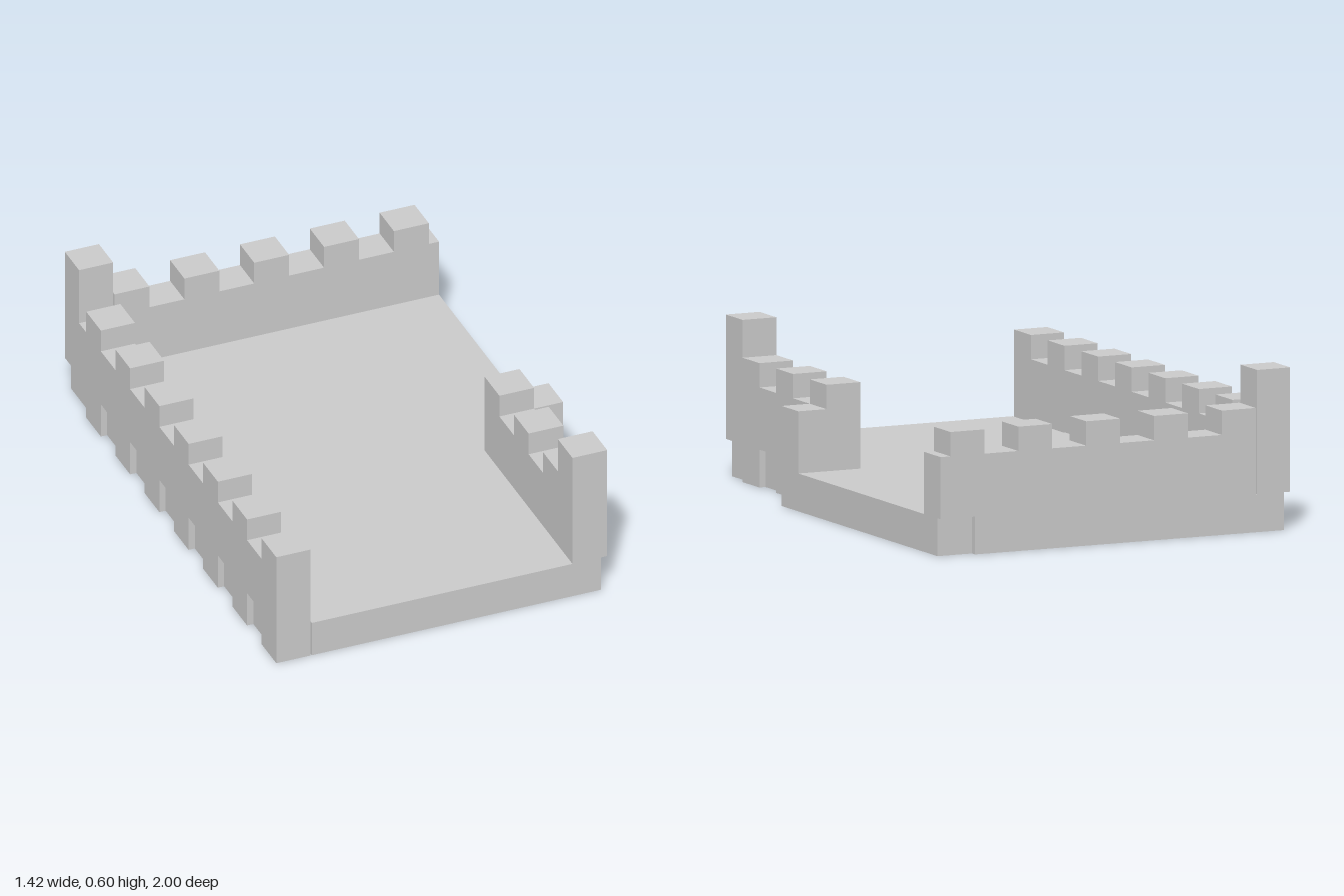
import * as THREE from 'three';

const HALF_X = 0.7125;   // outer half width
const FLOOR = 0.14;      // slab height
const LOW = 0.37;        // parapet height
const HIGH = 0.46;       // battlement height
const TOWER = 0.6;       // corner tower height
const THICK = 0.135;     // wall thickness
const STEP = 0.13825;    // width of one battlement or gap
const RECESS = 0.025;    // depth of the notches under the walls
const LEFT_IN = -0.572;  // slab and back wall edge beside the side wall
const RIGHT_OUT = 0.5975;
const edge = (i) => 1 - STEP * i; // z of the i-th battlement edge from the front

const material = new THREE.MeshStandardMaterial({ color: 0xcccccc, flatShading: true });

function extrude(points, depth) {
  const shape = new THREE.Shape(points.map(([x, y]) => new THREE.Vector2(x, y)));
  return new THREE.ExtrudeGeometry(shape, { depth, bevelEnabled: false });
}

function addMesh(group, name, geometry) {
  const mesh = new THREE.Mesh(geometry, material);
  mesh.name = name;
  group.add(mesh);
}

// Wall running along z: profile is (z, y), outer limits in x
function sideWall(points, xMin, xMax) {
  return extrude(points, xMax - xMin).rotateY(-Math.PI / 2).translate(xMax, 0, 0);
}

export function createModel() {
  const group = new THREE.Group();
  group.name = 'battlementedCourtyard';

  // Floor slab: plan outline (x, z) with tabs along both sides
  const plan = [[LEFT_IN, 1]];
  for (let i = 1; i <= 13; i++) {
    const tab = -HALF_X + RECESS;
    const [a, b] = i % 2 ? [LEFT_IN, tab] : [tab, LEFT_IN];
    plan.push([a, edge(i)], [b, edge(i)]);
  }
  plan.push([-HALF_X + RECESS, -1], [RIGHT_OUT - RECESS, -1]);
  plan.push([RIGHT_OUT - RECESS, -1 + RECESS], [HALF_X, -1 + RECESS]);
  plan.push([HALF_X, edge(5)], [RIGHT_OUT - RECESS, edge(5)]);
  for (let i = 4; i >= 1; i--) {
    const [a, b] = [RIGHT_OUT - RECESS, RIGHT_OUT];
    plan.push(i % 2 ? [b, edge(i)] : [a, edge(i)], i % 2 ? [a, edge(i)] : [b, edge(i)]);
  }
  plan.push([RIGHT_OUT - RECESS, 1]);
  addMesh(group, 'floor',
    extrude(plan.map(([x, z]) => [x, -z]), FLOOR).rotateX(-Math.PI / 2));

  // Long side wall: teeth reach the ground below each battlement
  const top = [[1, HIGH]];
  const bottom = [[1, 0]];
  for (let i = 1; i <= 13; i++) {
    const odd = i % 2 === 1;
    top.push([edge(i), odd ? HIGH : LOW], [edge(i), odd ? LOW : HIGH]);
    bottom.push([edge(i), odd ? 0 : FLOOR], [edge(i), odd ? FLOOR : 0]);
  }
  // the last edge leaves a raised underside and a low parapet up to the tower
  top.push([-1 + THICK, LOW], [-1 + THICK, TOWER], [-1, TOWER]);
  bottom.push([-1, FLOOR]);
  addMesh(group, 'longWall',
    sideWall([...top, ...bottom.reverse()], -HALF_X, -HALF_X + THICK));

  // Back wall with five battlements
  const back = [[LEFT_IN, FLOOR]];
  for (let k = 0; k < 5; k++) {
    const x = LEFT_IN + 2 * STEP * k;
    if (k) back.push([x, LOW]);
    back.push([x, HIGH], [x + STEP, HIGH], [x + STEP, LOW]);
  }
  back.push([HALF_X, LOW], [HALF_X, FLOOR]);
  addMesh(group, 'backWall', extrude(back, THICK).translate(0, 0, -1));

  // Short side wall with front tower
  const short = [[1, FLOOR], [1, TOWER], [edge(1), TOWER], [edge(1), HIGH]];
  for (let i = 2; i <= 5; i++) {
    const odd = i % 2 === 1;
    short.push([edge(i), odd ? LOW : HIGH], [edge(i), odd ? HIGH : LOW]);
  }
  short.push([edge(6), HIGH], [edge(6), FLOOR]);
  addMesh(group, 'shortWall', sideWall(short, 0.46, RIGHT_OUT));

  // Return at the end of the short wall
  addMesh(group, 'wallReturn', sideWall(
    [[edge(5), FLOOR], [edge(5), LOW], [edge(6), LOW], [edge(6), FLOOR]], RIGHT_OUT, HALF_X));

  return group;
}
